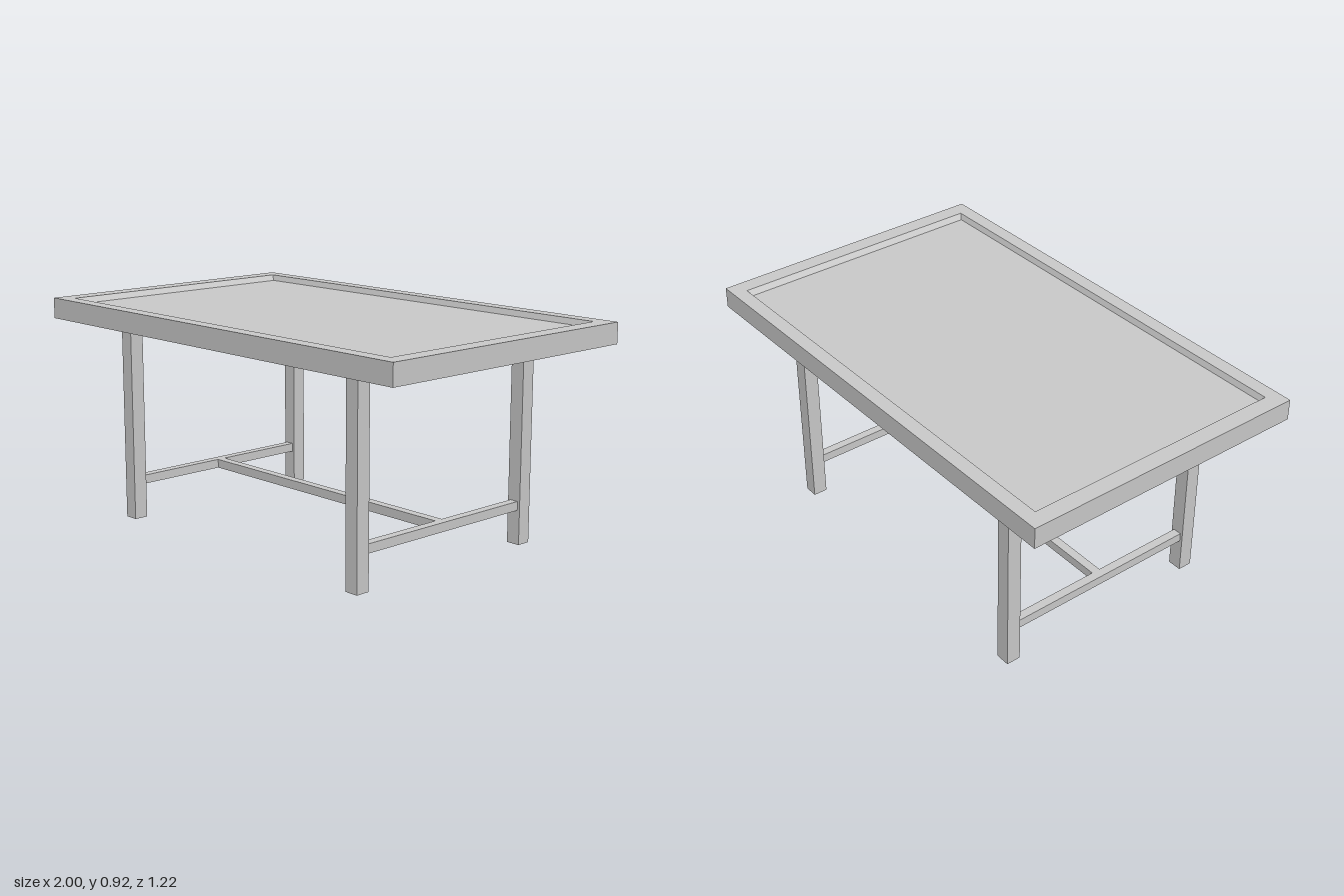
import * as THREE from 'three';

const material = new THREE.MeshStandardMaterial({ color: 0xcccccc, flatShading: true });

function addMesh(group, name, geometry) {
  const mesh = new THREE.Mesh(geometry, material);
  mesh.name = name;
  group.add(mesh);
  return mesh;
}

function addBox(group, name, [w, h, d], [x, y, z]) {
  addMesh(group, name, new THREE.BoxGeometry(w, h, d)).position.set(x, y, z);
}

// Tray-like slab: rectangular rings joined from the underside to the recessed floor
function tableTopGeometry() {
  const rings = [ // half width, height, half depth
    [1, 0.83, 0.61],
    [1, 0.916, 0.61],
    [0.93, 0.916, 0.551],
    [0.916, 0.892, 0.543],
  ];
  const corners = [[-1, 1], [1, 1], [1, -1], [-1, -1]];
  const positions = [];
  const index = [];
  for (const [w, y, d] of rings) {
    for (const [sx, sz] of corners) positions.push(sx * w, y, sz * d);
  }
  for (let r = 0; r < rings.length - 1; r++) {
    for (let i = 0; i < 4; i++) {
      const a = r * 4 + i;
      const b = r * 4 + ((i + 1) % 4);
      index.push(a, b, b + 4, a, b + 4, a + 4);
    }
  }
  const f = (rings.length - 1) * 4;
  index.push(f, f + 1, f + 2, f, f + 2, f + 3); // recessed floor
  index.push(0, 2, 1, 0, 3, 2); // underside
  const indexed = new THREE.BufferGeometry();
  indexed.setAttribute('position', new THREE.Float32BufferAttribute(positions, 3));
  indexed.setIndex(index);
  const geometry = indexed.toNonIndexed();
  geometry.computeVertexNormals();
  return geometry;
}

export function createModel() {
  const table = new THREE.Group();
  table.name = 'table';

  addMesh(table, 'tableTop', tableTopGeometry());

  const legX = 0.67, legZ = 0.45, legSize = 0.06, legHeight = 0.83;
  const bar = 0.037, barY = 0.16;

  for (const sx of [-1, 1]) {
    const side = sx > 0 ? 'left' : 'right';
    // Square legs
    for (const sz of [-1, 1]) {
      addBox(table, `${side}${sz > 0 ? 'Front' : 'Back'}Leg`,
        [legSize, legHeight, legSize], [sx * legX, legHeight / 2, sz * legZ]);
    }
    // Side stretcher between front and back legs
    addBox(table, `${side}Stretcher`, [bar, bar, 2 * legZ - legSize], [sx * legX, barY, 0]);
  }

  // Long stretcher joining the two side stretchers
  addBox(table, 'centerStretcher', [2 * legX - bar, bar, bar], [0, barY, 0]);

  return table;
}
